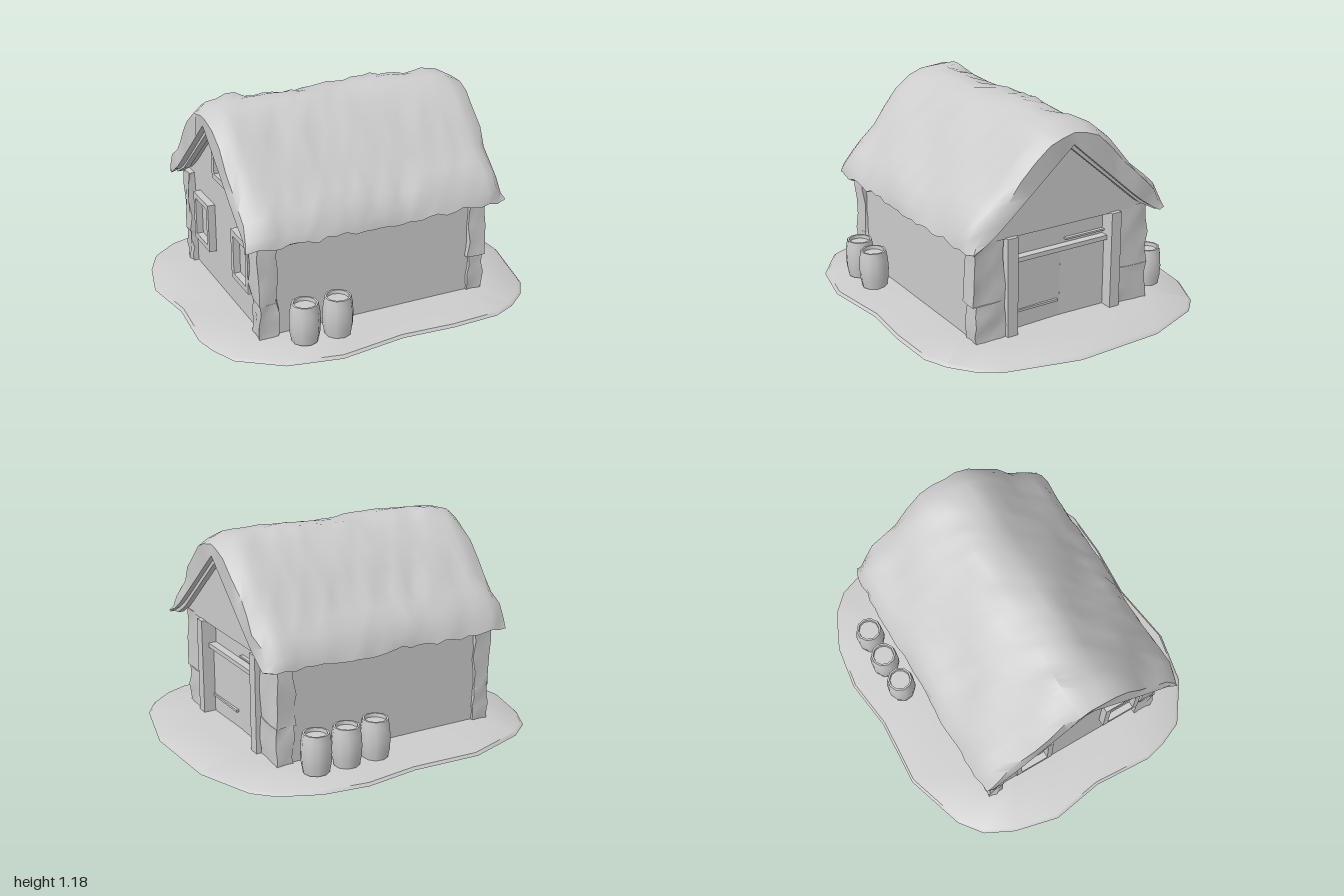
import * as THREE from 'three';
import { mergeVertices, toCreasedNormals } from 'three/addons/utils/BufferGeometryUtils.js';

const stone = new THREE.MeshStandardMaterial({ color: 0xcccccc });
stone.name = 'plain grey';

// repeatable value in -1..1 for any pair of numbers
const hash = (a, b) => {
  const s = Math.sin(a * 127.1 + b * 311.7) * 43758.5453;
  return 2 * (s - Math.floor(s)) - 1;
};

export function createModel() {
  const root = new THREE.Group();
  root.name = 'thatchedCottage';

  const add = (name, geo, parent = root) => {
    const mesh = new THREE.Mesh(geo, stone);
    mesh.name = name;
    parent.add(mesh);
    return mesh;
  };
  // box given by its limits
  const block = (name, x0, x1, y0, y1, z0, z1, parent = root) => {
    const m = add(name, new THREE.BoxGeometry(x1 - x0, y1 - y0, z1 - z0), parent);
    m.position.set((x0 + x1) / 2, (y0 + y1) / 2, (z0 + z1) / 2);
    return m;
  };
  const indexed = (points, index) => {
    const g = new THREE.BufferGeometry();
    g.setAttribute('position', new THREE.Float32BufferAttribute(points, 3));
    g.setIndex(index);
    return g;
  };

  // ground: irregular outline, gently domed, flat underneath
  const outline = [
    [-1, -.25], [-.94, -.5], [-.86, -.66], [-.73, -.76], [-.39, -.87], [0, -.85], [.3, -.89], [.55, -.855],
    [.76, -.76], [.86, -.66], [.98, -.34], [1, .16], [.9, .56], [.82, .68], [.7, .775], [.57, .83],
    [.3, .84], [0, .82], [-.37, .87], [-.66, .81], [-.88, .65], [-.94, .51], [-.97, .385], [-.95, .05],
  ];
  const rings = [[0, 0], [.96, 0], [1, .015], [.985, .03], [.75, .052], [.4, .058], [0, .06]];
  const n = outline.length, gp = [], gi = [];
  rings.forEach(([s, y]) => outline.forEach(([x, z]) => gp.push(x * s, y, z * s)));
  for (let r = 0; r < rings.length - 1; r++) {
    for (let i = 0; i < n; i++) {
      const a = r * n + i, b = r * n + (i + 1) % n;
      if (r > 0) gi.push(a, a + n, b);
      if (r < rings.length - 2) gi.push(b, a + n, b + n);
    }
  }
  add('ground', toCreasedNormals(indexed(gp, gi), 0.7));

  // house body with the rear gable; the door end stops short for the recess
  const house = new THREE.Group();
  house.name = 'house';
  root.add(house);
  const gableShape = (points) => new THREE.Shape(points.map(([z, y]) => new THREE.Vector2(-z, y)));
  const alongX = (name, points, x0, x1) => {
    const g = new THREE.ExtrudeGeometry(gableShape(points), { depth: x1 - x0, bevelEnabled: false });
    g.rotateY(Math.PI / 2);
    add(name, g, house).position.x = x0;
  };
  alongX('walls', [[.55, .03], [-.515, .03], [-.515, .61], [.03, 1.07], [.55, .61]], -.67, .57);
  alongX('doorGable', [[.62, .595], [-.57, .595], [-.47, .65], [.03, 1.07], [.52, .65]], .55, .63);

  // rough corner piers, two stacked stones each
  const pier = (name, x0, x1, y0, y1, z0, z1, amp) => {
    const g = new THREE.BoxGeometry(x1 - x0, y1 - y0, z1 - z0, 2, 4, 3);
    g.translate((x0 + x1) / 2, (y0 + y1) / 2, (z0 + z1) / 2);
    const p = g.attributes.position;
    for (let i = 0; i < p.count; i++) {
      const k = Math.round(p.getX(i) * 97) + Math.round(p.getZ(i) * 89) * 3, y = p.getY(i);
      p.setX(i, p.getX(i) + amp * hash(k, y));
      p.setZ(i, p.getZ(i) + amp * hash(y, k + 5));
    }
    g.deleteAttribute('normal');
    g.deleteAttribute('uv');
    add(name, toCreasedNormals(mergeVertices(g), 0.75), house);
  };
  [1, -1].forEach((s) => {
    const [out, inn] = s > 0 ? [.562, .385] : [-.525, -.335];
    const za = Math.min(out, inn), zb = Math.max(out, inn);
    pier('doorCornerLower', .54, .632, .03, .26, za, zb, .008);
    pier('doorCornerUpper', .53, .628, .26, .61, za + (s > 0 ? .005 : 0), zb + (s > 0 ? .01 : 0), .01);
    const edge = s > 0 ? [.46, .57] : [-.53, -.44];
    pier('rearCornerLower', -.7, -.6, .03, .24, ...edge, .008);
    pier('rearCornerUpper', -.705, -.6, .24, .6, ...edge, .01);
  });

  // doorway: posts, lintel, planked door
  const door = new THREE.Group();
  door.name = 'door';
  house.add(door);
  block('doorPost', .55, .655, .04, .6, .322, .385, door);
  block('doorPost', .55, .655, .04, .6, -.332, -.27, door);
  block('lintel', .56, .615, .44, .465, -.27, .322, door);
  const leaf = (z0, z1, tilt) => {
    const m = block('doorLeaf', .565, .582, .05, .44, z0, z1, door);
    m.rotation.y = tilt;
  };
  leaf(.0, .32, .03);
  leaf(-.27, .01, -.03);
  block('doorRail', .57, .594, .145, .158, .03, .322, door);
  block('topRail', .57, .59, .485, .495, -.27, -.02, door);

  // windows on the rear gable: frame with a hole, sill and pane
  const window_ = (z, y, w, h) => {
    const g = new THREE.Group();
    g.name = 'window';
    const rect = (Cls, a, b) => new Cls([[-a, -b], [a, -b], [a, b], [-a, b]].map((p) => new THREE.Vector2(...p)));
    const frame = rect(THREE.Shape, w / 2, h / 2);
    frame.holes.push(rect(THREE.Path, w / 2 - .032, h / 2 - .032));
    const f = add('windowFrame', new THREE.ExtrudeGeometry(frame, { depth: .045, bevelEnabled: false }), g);
    f.rotation.y = -Math.PI / 2;
    block('windowPane', -.008, .002, -h / 2 + .02, h / 2 - .02, -w / 2 + .02, w / 2 - .02, g);
    g.position.set(-.667, y, z);
    house.add(g);
  };
  window_(-.24, .385, .23, .28);
  window_(.33, .395, .23, .28);
  window_(.05, .85, .17, .24);

  // thatched roof: ragged thick shell swept along x
  const outer = [
    [.645, .585], [.63, .65], [.575, .73], [.52, .79], [.44, .865], [.37, .95], [.275, 1.035], [.19, 1.115], [.11, 1.157],
    [.03, 1.168], [-.05, 1.157], [-.13, 1.115], [-.23, 1.035], [-.32, .95], [-.39, .865], [-.47, .79], [-.53, .73], [-.58, .65], [-.595, .585],
  ];
  const inner = outer.map(([z], i) => {
    const t = Math.abs(i - 9) / 9, side = Math.sign(9 - i);
    const dip = Math.max(0, t - .75) * .1;
    return [.03 + side * t * (side > 0 ? .585 : .57), 1.055 - .5 * t + dip + (t === 1 ? .01 : 0)];
  });
  const m = outer.length, stations = 29, rp = [], ri = [];
  for (let k = 0; k < stations; k++) {
    const u = k / (stations - 1);
    const endDist = Math.min(k, stations - 1 - k);
    const shrink = endDist === 0 ? .045 : endDist === 1 ? .012 : 0;
    const x = -.775 + 1.49 * u;
    outer.forEach(([z, y], i) => {
      const eave = i === 0 || i === m - 1;
      const ledge = i % 4 === 2 ? .013 * hash(k, i + 40) : 0;
      const swell = .009 * Math.sin(x * 9 + i * 1.3) + .004 * hash(k, i) + ledge;
      const nz = (i - 9) * -.1, len = Math.hypot(nz, .75);
      const d = swell - shrink;
      rp.push(
        x + (endDist === 0 ? .014 * hash(i, k) : 0),
        y + (eave ? .016 * hash(k, i + 7) : d * .75 / len),
        z + d * nz / len * (eave ? .6 : 1));
    });
    inner.forEach(([z, y], i) => rp.push(x, y + (i === 0 || i === m - 1 ? .012 * hash(k, i + 3) : 0), z));
  }
  const quad = (a, b, c, d) => ri.push(a, b, c, a, c, d);
  for (let k = 0; k < stations; k++) {
    const o = k * 2 * m, nx = o + 2 * m;
    for (let i = 0; i < m - 1; i++) {
      if (k < stations - 1) {
        quad(o + i, nx + i, nx + i + 1, o + i + 1);
        quad(o + m + i, o + m + i + 1, nx + m + i + 1, nx + m + i);
      }
      if (k === 0) quad(o + i, o + i + 1, o + m + i + 1, o + m + i);
      if (k === stations - 1) quad(o + i, o + m + i, o + m + i + 1, o + i + 1);
    }
    if (k < stations - 1) {
      quad(o, o + m, nx + m, nx);
      quad(o + m - 1, nx + m - 1, nx + 2 * m - 1, o + 2 * m - 1);
    }
  }
  add('thatchedRoof', toCreasedNormals(indexed(rp, ri), 0.85));

  // barge boards under both roof ends
  [-.74, .65].forEach((x) => {
    alongX('bargeBoards', [[.62, .585], [.58, .585], [.48, .645], [.03, 1.03], [-.42, .645], [-.53, .585], [-.57, .585],
      [-.46, .66], [.03, 1.075], [.52, .66]], x, x + .035);
  });

  // barrels with a sunken lid
  const staves = [[0, 0], [.07, 0], [.08, .05], [.083, .11], [.079, .17], [.071, .215], [.06, .215], [.058, .195], [0, .195]]
    .map((p) => new THREE.Vector2(...p));
  const barrelGeo = toCreasedNormals(mergeVertices((() => {
    const g = new THREE.LatheGeometry(staves, 10);
    g.deleteAttribute('normal');
    g.deleteAttribute('uv');
    return g;
  })()), 0.8);
  [[-.49, .66], [-.305, .665], [.12, -.65], [.3, -.66], [.48, -.66]].forEach(([x, z], i) => {
    const b = add('barrel', barrelGeo);
    b.position.set(x, .048, z);
    b.rotation.y = i * .7;
  });

  return root;
}
